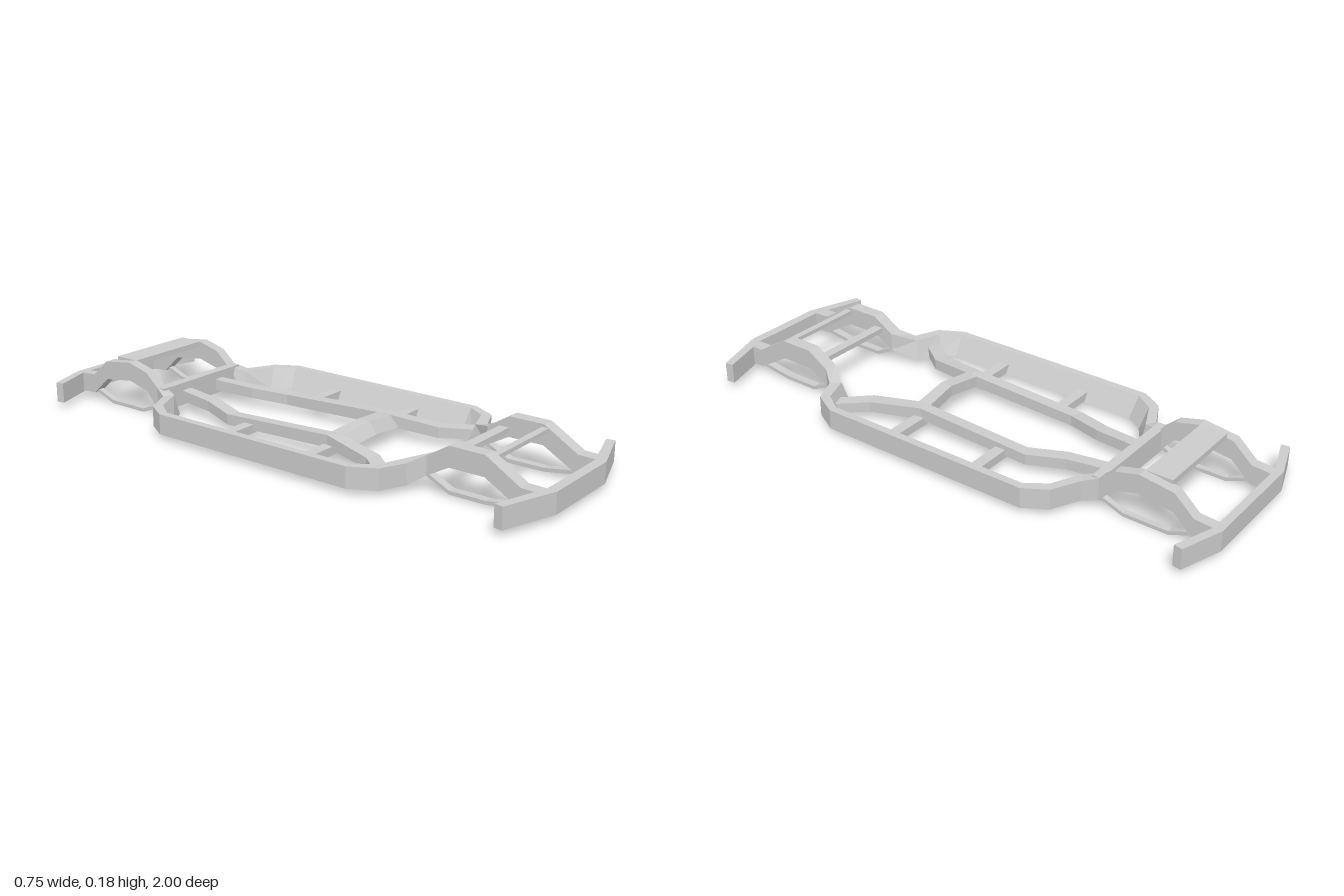
import * as THREE from 'three';

const material = new THREE.MeshStandardMaterial({ color: 0xcccccc, flatShading: true });

// Four-cornered beam lofted through sections:
// [outerX, outerZ, innerX, innerZ, bottom, top, innerBottomX, innerBottomZ]
function beam(name, sections, mirror = false) {
  const rings = sections.map(([ox, oz, ix, iz, yb, yt, bx = ix, bz = iz]) =>
    [[ox, yb, oz], [ox, yt, oz], [ix, yt, iz], [bx, yb, bz]]);
  const pos = [];
  const tri = (a, b, c) => {
    for (const p of mirror ? [a, c, b] : [a, b, c]) pos.push(mirror ? -p[0] : p[0], p[1], p[2]);
  };
  const quad = (a, b, c, d) => { tri(a, b, c); tri(a, c, d); };
  for (let i = 0; i < rings.length - 1; i++) {
    for (let j = 0; j < 4; j++) {
      const k = (j + 1) % 4;
      quad(rings[i][j], rings[i][k], rings[i + 1][k], rings[i + 1][j]);
    }
  }
  const s = rings[0], e = rings[rings.length - 1];
  quad(s[0], s[3], s[2], s[1]);
  quad(e[0], e[1], e[2], e[3]);
  const geo = new THREE.BufferGeometry();
  geo.setAttribute('position', new THREE.Float32BufferAttribute(pos, 3));
  geo.computeVertexNormals();
  const mesh = new THREE.Mesh(geo, material);
  mesh.name = name;
  return mesh;
}

// Plain cross bar between x0 and x1
function bar(name, x0, x1, y0, y1, z0, z1) {
  const mesh = new THREE.Mesh(new THREE.BoxGeometry(x1 - x0, y1 - y0, z1 - z0), material);
  mesh.position.set((x0 + x1) / 2, (y0 + y1) / 2, (z0 + z1) / 2);
  mesh.name = name;
  return mesh;
}

export function createModel() {
  const g = new THREE.Group();
  g.name = 'vehicleFrame';

  // Full-length side rail, rear to front, arching over both axles
  const rear = [[-0.975, 0.025, 0.095], [-0.906, 0.03, 0.1], [-0.836, 0.095, 0.163],
    [-0.713, 0.112, 0.18], [-0.627, 0.09, 0.158], [-0.574, 0.03, 0.112]]
    .map(([z, yb, yt]) => [0.204, z, 0.165, z, yb, yt]);
  const middle = [
    [0.225, -0.525, 0.19, -0.505, 0.022, 0.095, 0.17, -0.5],
    [0.325, -0.475, 0.295, -0.455, 0.022, 0.095, 0.26, -0.44],
    [0.373, -0.395, 0.345, -0.385, 0.022, 0.095, 0.303, -0.375],
    [0.373, 0.4, 0.345, 0.395, 0.022, 0.095, 0.303, 0.39],
    [0.325, 0.49, 0.3, 0.465, 0.022, 0.095, 0.275, 0.445],
    [0.235, 0.53, 0.205, 0.5, 0.022, 0.095, 0.19, 0.48]];
  const front = [[0.578, 0.055, 0.12], [0.658, 0.1, 0.17], [0.783, 0.1, 0.17],
    [0.905, 0.03, 0.097], [0.975, 0.025, 0.095]]
    .map(([z, yb, yt]) => [0.2, z, 0.152, z, yb, yt]);

  // Inner rail following the floor tunnel
  const inner = [[0.065, 0.105, -0.55, 0.045, 0.085], [0.085, 0.127, -0.39, 0.04, 0.078],
    [0.128, 0.17, -0.26, 0.03, 0.068], [0.128, 0.17, 0.18, 0.045, 0.088],
    [0.168, 0.215, 0.37, 0.03, 0.068], [0.25, 0.295, 0.475, 0.025, 0.06]]
    .map(([x0, x1, z, yb, yt]) => [x1, z - 0.01, x0, z + 0.01, yb, yt]);

  // Slim struts slung below the arches
  const strut = (x0, x1, pts) => pts.map(([z, y]) => [x1, z, x0, z, y, y + 0.013]);
  const rearStrut = strut(0.175, 0.196, [[-0.905, 0.035], [-0.82, 0.002], [-0.66, 0.002], [-0.575, 0.034]]);
  const frontStrut = strut(0.16, 0.19, [[0.57, 0.05], [0.655, 0.009], [0.785, 0.009], [0.91, 0.028]]);

  for (const m of [false, true]) {
    const side = m ? 'right' : 'left';
    g.add(beam(side + 'SideRail', [...rear, ...middle, ...front], m));
    g.add(beam(side + 'InnerRail', inner, m));
    g.add(beam(side + 'RearStrut', rearStrut, m));
    g.add(beam(side + 'FrontStrut', frontStrut, m));
    // Outriggers between the inner and side rails
    for (const z of [-0.17, 0.175]) {
      const s = m ? -1 : 1, a = s * 0.15, b = s * 0.32;
      g.add(bar(side + 'Outrigger', Math.min(a, b), Math.max(a, b), 0.025, 0.055, z - 0.02, z + 0.02));
    }
  }

  // Bumper beams with swept ends
  g.add(beam('rearBumper', [
    [-0.35, -0.95, -0.345, -0.92, 0.022, 0.095], [-0.2, -1, -0.195, -0.972, 0.022, 0.095],
    [0.2, -1, 0.195, -0.972, 0.022, 0.095], [0.35, -0.95, 0.345, -0.92, 0.022, 0.095]]));
  g.add(beam('frontBumper', [
    [0.35, 0.935, 0.345, 0.905, 0.022, 0.095], [0.155, 1, 0.15, 0.965, 0.022, 0.095],
    [-0.155, 1, -0.15, 0.965, 0.022, 0.095], [-0.35, 0.935, -0.345, 0.905, 0.022, 0.095]]));

  // Cross members
  g.add(bar('rearArchPlate', -0.17, 0.17, 0.16, 0.18, -0.81, -0.715));
  g.add(bar('rearCabinCrossMember', -0.2, 0.2, 0.03, 0.112, -0.58, -0.545));
  g.add(bar('frontLowerCrossBar', -0.16, 0.16, 0.113, 0.132, 0.622, 0.658));
  g.add(bar('frontUpperCrossBar', -0.16, 0.16, 0.146, 0.16, 0.775, 0.8));

  // Shallow arched member across the tunnel
  g.add(beam('tunnelCrossMember', [
    [-0.15, 0.155, -0.15, 0.205, 0.045, 0.085, -0.15, 0.235],
    [0, 0.17, 0, 0.215, 0.06, 0.1, 0, 0.245],
    [0.15, 0.155, 0.15, 0.205, 0.045, 0.085, 0.15, 0.235]]));
  return g;
}
